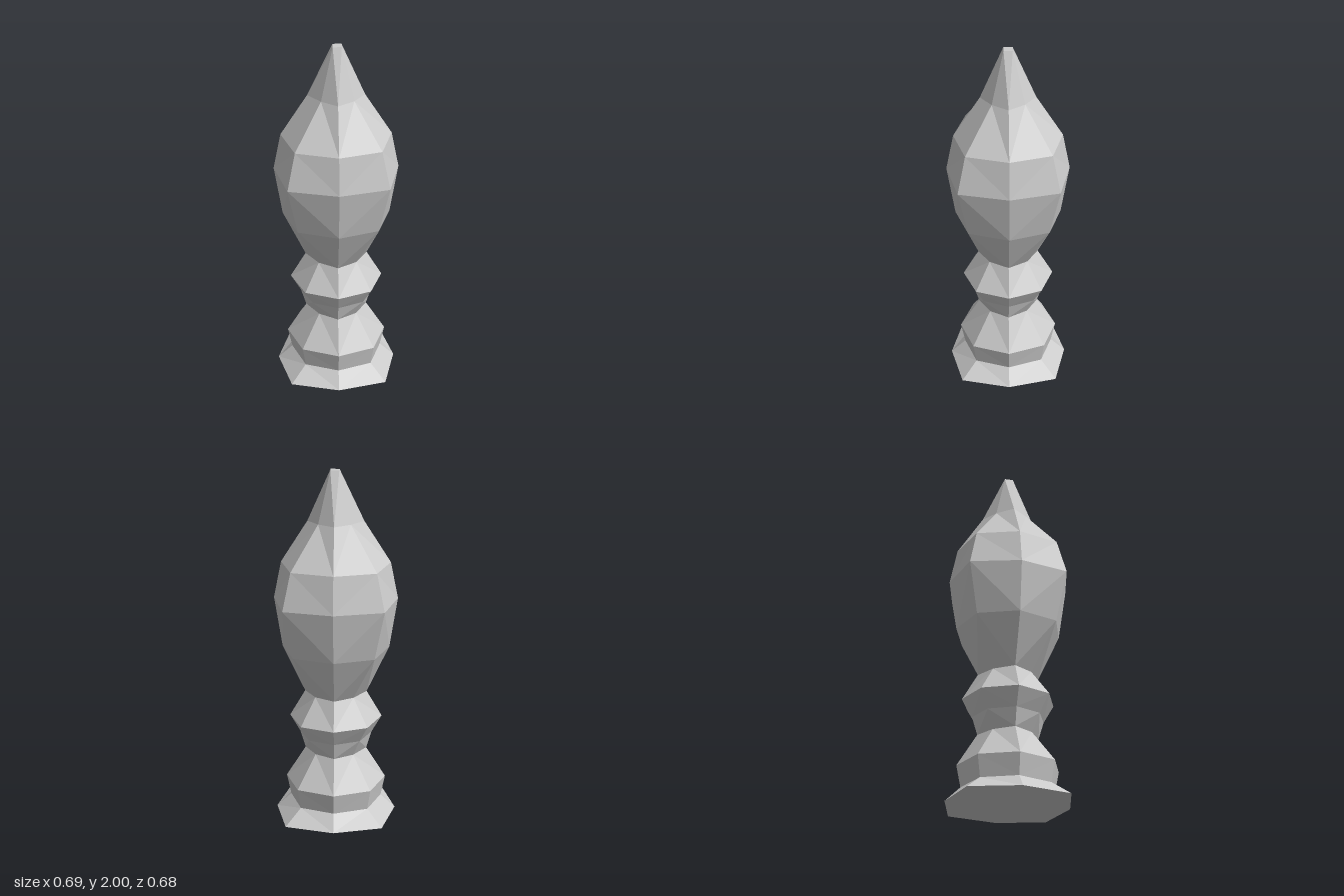
import * as THREE from 'three';

// Cross-sections from foot to tip: [height, radius on the axes, offset of the corners]
const SECTIONS = [
  [0, 0.34, 0.273],      // flared foot
  [0.08, 0.257, 0.19],
  [0.2, 0.281, 0.206],   // lower collar
  [0.38, 0.17, 0.107],
  [0.48, 0.2, 0.143],
  [0.58, 0.257, 0.186],  // upper collar
  [0.73, 0.17, 0.107],   // neck
  [1.0, 0.295, 0.222],
  [1.285, 0.339, 0.274], // widest part of the bulb
  [1.49, 0.297, 0.231],
  [1.72, 0.15, 0.088],
  [2.0, 0.024, 0.024],   // small square tip
];
const SIDES = 8;
const SHIFT = 0.005; // the core sits slightly off the middle

// Eight-sided ring whose corners and axis points have separate sizes
function ring([y, r, d]) {
  const points = [];
  for (let i = 0; i < SIDES; i++) {
    const a = (i / SIDES) * Math.PI * 2;
    const sx = Math.round(Math.sin(a) * 1.2);
    const sz = Math.round(Math.cos(a) * 1.2);
    const size = i % 2 ? d : r;
    const onXAxis = sz === 0;
    const x = onXAxis && y < 2 ? sx * (size + SHIFT) : sx * size + SHIFT;
    points.push([x, y, sz * size]);
  }
  return points;
}

// Skin neighbouring rings with flat faces and close both ends
function loft(sections) {
  const rings = sections.map(ring);
  const positions = [];
  const tri = (a, b, c) => positions.push(...a, ...b, ...c);
  for (let k = 0; k < rings.length - 1; k++) {
    for (let i = 0; i < SIDES; i++) {
      const j = (i + 1) % SIDES;
      const [a, b, c, d] = [rings[k][i], rings[k][j], rings[k + 1][j], rings[k + 1][i]];
      // mirrored diagonals keep the facets symmetrical about each axis
      if (i % 2) {
        tri(a, b, d);
        tri(b, c, d);
      } else {
        tri(a, b, c);
        tri(a, c, d);
      }
    }
  }
  const foot = rings[0];
  const tip = rings[rings.length - 1];
  const footCentre = [SHIFT, sections[0][0], 0];
  const tipCentre = [SHIFT, sections[sections.length - 1][0], 0];
  for (let i = 0; i < SIDES; i++) {
    const j = (i + 1) % SIDES;
    tri(footCentre, foot[j], foot[i]);
    tri(tipCentre, tip[i], tip[j]);
  }
  const geometry = new THREE.BufferGeometry();
  geometry.setAttribute('position', new THREE.Float32BufferAttribute(positions, 3));
  geometry.computeVertexNormals();
  return geometry;
}

export function createModel() {
  const model = new THREE.Group();
  model.name = 'finial';
  const material = new THREE.MeshStandardMaterial({ color: 0xcccccc, flatShading: true });
  const body = new THREE.Mesh(loft(SECTIONS), material);
  body.name = 'turnedPost';
  model.add(body);
  return model;
}
